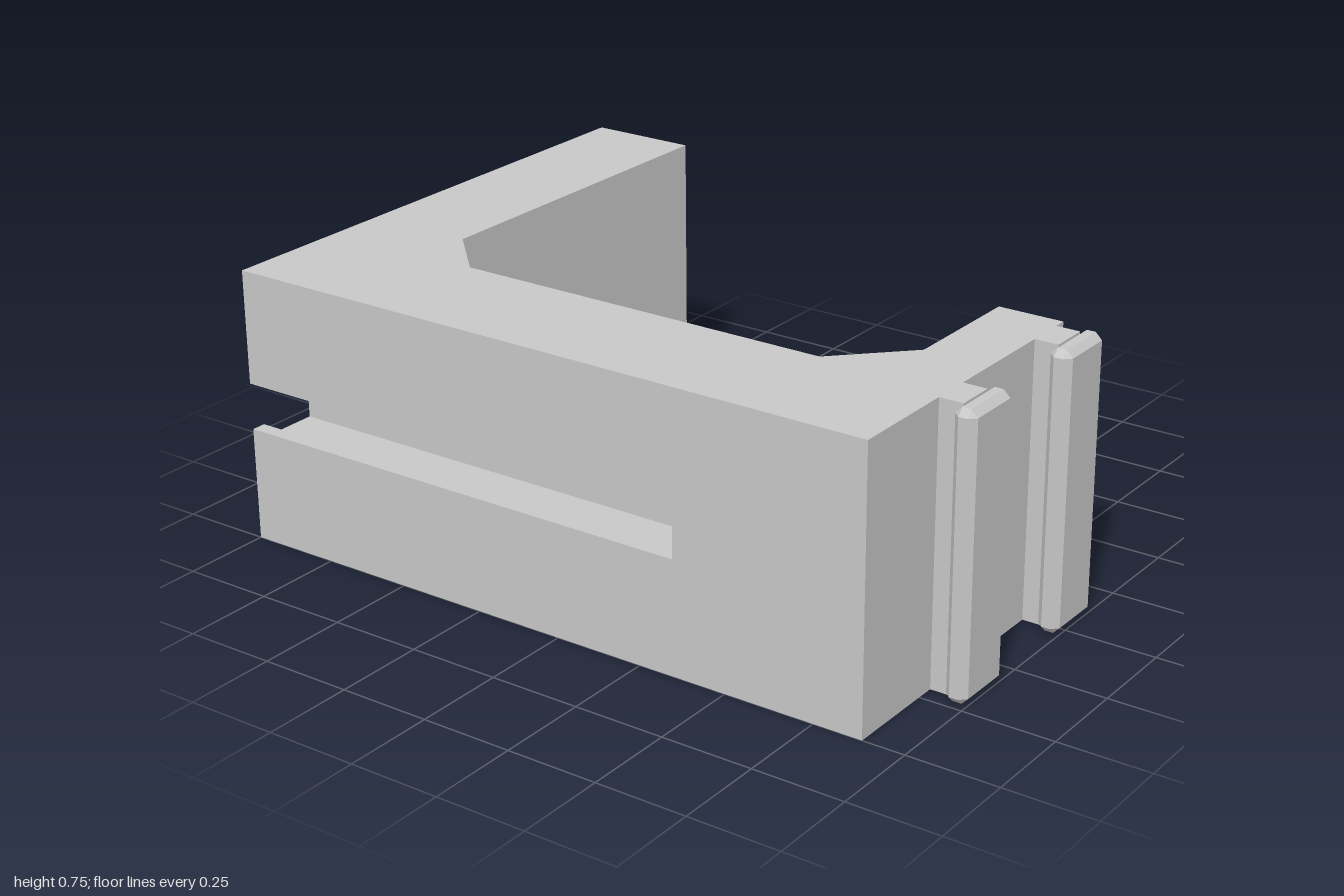
import * as THREE from 'three';
import { ConvexGeometry } from 'three/addons/geometries/ConvexGeometry.js';

const H = 0.75; // overall height

function extrude(points, depth) {
  const shape = new THREE.Shape(points.map(([a, b]) => new THREE.Vector2(a, b)));
  return new THREE.ExtrudeGeometry(shape, { depth, bevelEnabled: false });
}

// Box with every edge chamfered by c
function chamferedBox(w, h, d, c) {
  const pts = [];
  for (const sx of [-1, 1]) for (const sy of [-1, 1]) for (const sz of [-1, 1]) {
    const x = sx * w / 2, y = sy * h / 2, z = sz * d / 2;
    const ix = x - sx * c, iy = y - sy * c, iz = z - sz * c;
    pts.push(new THREE.Vector3(x, iy, iz), new THREE.Vector3(ix, y, iz), new THREE.Vector3(ix, iy, z));
  }
  return new ConvexGeometry(pts);
}

export function createModel() {
  const model = new THREE.Group();
  model.name = 'slottedBracket';
  const grey = new THREE.MeshStandardMaterial({ color: 0xc8c8c8 });
  grey.name = 'grey';

  const add = (name, geometry, parent = model) => {
    const mesh = new THREE.Mesh(geometry, grey);
    mesh.name = name;
    parent.add(mesh);
    return mesh;
  };

  // C-shaped body, with the outer strip left open for the slot (x, z plan)
  const slotBack = -0.54, slotEnd = 0.35;
  const plan = [
    [slotBack, -1], [0.75, -1], [0.75, -0.695], [-0.245, -0.695], [-0.4, -0.54],
    [-0.4, 0.527], [-0.222, 0.705], [0.13, 0.705], [0.13, 0.885], [-0.75, 0.885],
    [-0.75, slotEnd], [slotBack, slotEnd],
  ];
  add('body', extrude(plan.map(([x, z]) => [x, -z]), H).rotateX(-Math.PI / 2));

  // Lower and upper jaws that enclose the T-slot
  const jaw = [
    [-0.75, 0], [slotBack, 0], [slotBack, 0.274], [-0.665, 0.274], [-0.71, 0.311], [-0.75, 0.311],
  ];
  add('lowerSlotJaw', extrude(jaw, slotEnd + 1).translate(0, 0, -1));
  add('upperSlotJaw', extrude(jaw.map(([x, y]) => [x, H - y]), slotEnd + 1).translate(0, 0, -1));

  // Two T-rails on the front arm
  for (const x of [-0.398, 0.042]) {
    const rail = new THREE.Group();
    rail.name = 'rail';
    rail.position.set(x, H / 2, 0);
    add('railNeck', new THREE.BoxGeometry(0.106, H, 0.07).translate(0, 0, 0.915), rail);
    add('railHead', chamferedBox(0.18, H, 0.06, 0.018).translate(0, 0, 0.97), rail);
    model.add(rail);
  }
  return model;
}
